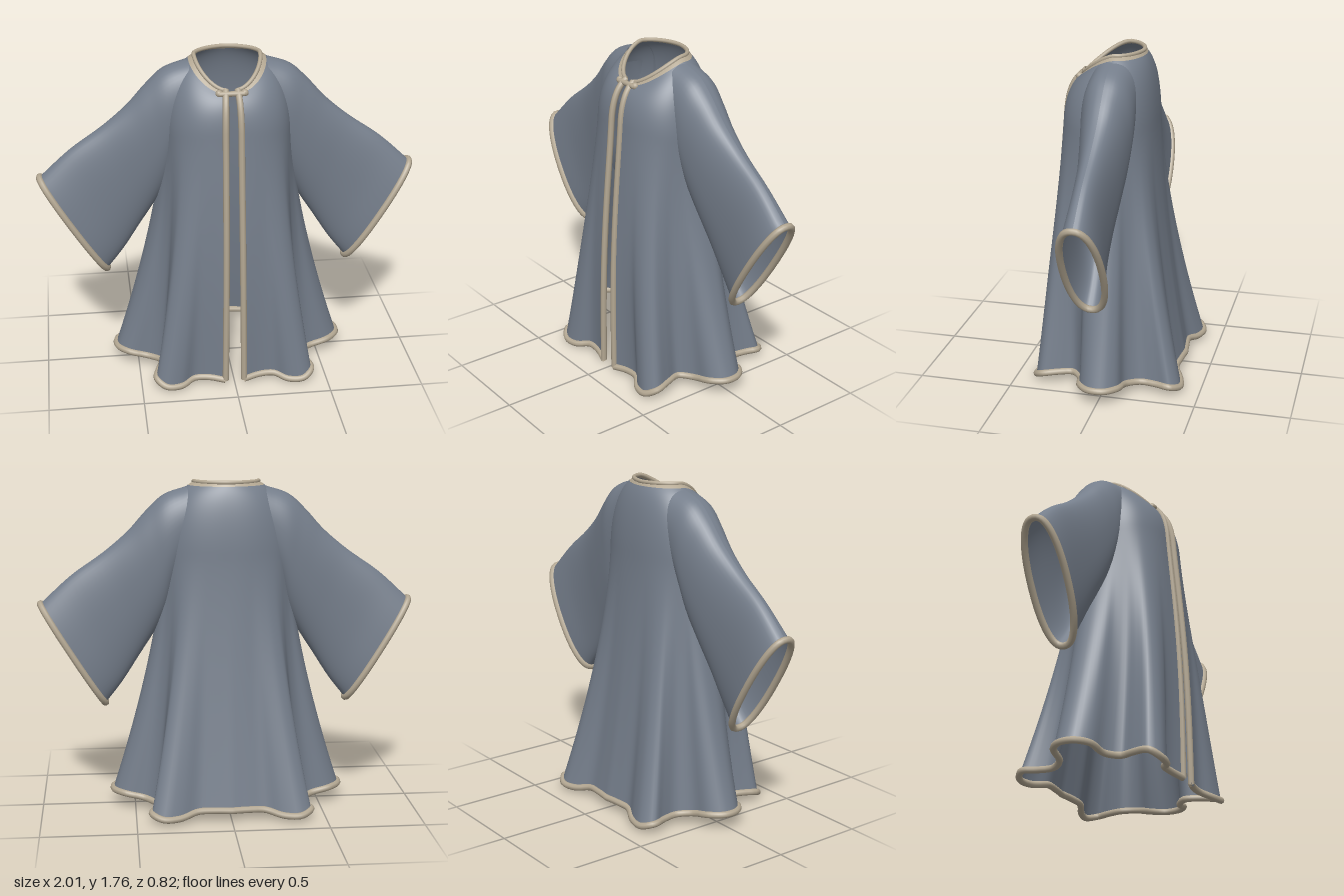
import * as THREE from 'three';

// Half of the hem, from the front slit round the +x side to the middle of the back
const HEM = new THREE.CatmullRomCurve3([
  [.05, .02, .36], [.14, .03, .335], [.22, .03, .335], [.29, .015, .38], [.37, .02, .39], [.42, .05, .345],
  [.40, .06, .26], [.38, .06, .18], [.45, .06, .12], [.55, .08, .10], [.61, .085, .04],
  [.61, .085, -.04], [.55, .08, -.10], [.45, .06, -.12], [.39, .05, -.19], [.40, .05, -.28],
  [.42, .05, -.35], [.36, .03, -.395], [.27, .03, -.38], [.18, .05, -.34], [.09, .055, -.345], [0, .055, -.355],
].map(p => new THREE.Vector3(...p)));

const CHEST_Y = 1.4, YOKE = 0.25;
const curve2 = pts => new THREE.CatmullRomCurve3(pts.map(([x, y, z = 0]) => new THREE.Vector3(x, y, z)));

// Sleeve upper edge (third value is half depth) and lower edge, from shoulder to cuff
const SLEEVE_TOP = curve2([[.2, 1.725, .13], [.33, 1.68, .135], [.42, 1.6, .125], [.52, 1.49, .11],
  [.65, 1.38, .092], [.82, 1.26, .086], [.985, 1.11, .1]]);
const SLEEVE_LOW = curve2([[.22, 1.35], [.28, 1.2], [.32, 1.07], [.38, .96], [.47, .82], [.56, .68], [.65, .565]]);

const spow = (v, e) => Math.sign(v) * Math.pow(Math.abs(v), e);

// Point on the body: u = 0..2 round from slit to slit, s = 0..1 from neck to hem
function bodyPoint(u, s) {
  const t = 1 - Math.abs(u - 1), side = u <= 1 ? 1 : -1;
  const a = t * Math.PI, sin = Math.sin(a), cos = Math.cos(a);
  const chest = new THREE.Vector3(
    .04 * (1 - t) + .31 * spow(sin, .85), CHEST_Y, (cos > 0 ? .29 : .19) * spow(cos, .85));
  const p = new THREE.Vector3();
  if (s < YOKE) {
    // rounded yoke between neckline and chest
    const neck = new THREE.Vector3(.03 * (1 - t) + .155 * spow(sin, 1.2),
      1.75 - .13 * Math.pow(Math.max(0, cos), 1.5), (cos > 0 ? .2 : .115) * cos);
    const ctrl = chest.clone().lerp(neck, .12);
    ctrl.y = THREE.MathUtils.lerp(CHEST_Y, neck.y, .78);
    new THREE.QuadraticBezierCurve3(neck, ctrl, chest).getPoint(s / YOKE, p);
  } else {
    // skirt: folds deepen toward the hem
    const k = (s - YOKE) / (1 - YOKE), hem = HEM.getPoint(t);
    p.copy(chest).lerp(hem, Math.pow(k, 1.5));
    p.y = THREE.MathUtils.lerp(CHEST_Y, hem.y, k);
    p.z += .03 * Math.max(0, cos) * Math.sin(Math.PI * k);
  }
  p.x *= side;
  return p;
}

// Point on a sleeve: v = 0..1 from shoulder to cuff, w = 0..1 round
function sleevePoint(side, v, w) {
  const top = SLEEVE_TOP.getPoint(v), low = SLEEVE_LOW.getPoint(v), a = w * Math.PI * 2;
  const depth = top.z;
  top.z = 0;
  const p = low.lerp(top, .5 + .5 * spow(Math.cos(a), .9));
  p.z = .005 + depth * spow(Math.sin(a), .85);
  p.x *= side;
  return p;
}

// Smooth sheet from a point rule; skip() leaves openings
function sheet(fn, nu, nv, skip = () => false) {
  const pos = [], index = [];
  for (let j = 0; j <= nv; j++)
    for (let i = 0; i <= nu; i++) pos.push(...fn(i / nu, j / nv).toArray());
  for (let j = 0; j < nv; j++)
    for (let i = 0; i < nu; i++) {
      const a = j * (nu + 1) + i, b = a + nu + 1;
      if (!skip(fn((i + .5) / nu, (j + .5) / nv))) index.push(a, b, a + 1, b, b + 1, a + 1);
    }
  const g = new THREE.BufferGeometry();
  g.setAttribute('position', new THREE.Float32BufferAttribute(pos, 3));
  g.setIndex(index);
  g.computeVertexNormals();
  return g;
}

// Rounded piping along a sampled edge
function piping(fn, n, radius, closed = false) {
  const pts = [];
  for (let i = 0; i < n + (closed ? 0 : 1); i++) pts.push(fn(i / n));
  return new THREE.TubeGeometry(new THREE.CatmullRomCurve3(pts, closed), n * 2, radius, 8, closed);
}

export function createModel() {
  const cloth = new THREE.MeshStandardMaterial({ color: 0x757e8b });
  const trim = new THREE.MeshStandardMaterial({ color: 0xb3a792 });
  cloth.name = 'slateCloth';
  trim.name = 'beigeTrim';
  cloth.side = trim.side = THREE.DoubleSide;

  const model = new THREE.Group();
  model.name = 'robe';
  const add = (name, geometry, material) => {
    const m = new THREE.Mesh(geometry, material);
    m.name = name;
    model.add(m);
    return m;
  };

  // Body with armholes, and the flat band round the neck
  const BAND = .028;
  const armhole = p => Math.abs(p.x) > .25 && Math.abs(p.z) < .08 && p.y > 1.2 && p.y < 1.6;
  add('body', sheet((u, v) => bodyPoint(u * 2, BAND + v * (1 - BAND)), 168, 60, armhole), cloth);
  add('neckBand', sheet((u, v) => bodyPoint(u * 2, v * BAND), 96, 3), trim);

  // Piping on neck, hem and the two front edges
  add('neckPiping', piping(t => bodyPoint(t * 2, 0), 48, .011), trim);
  add('hemPiping', piping(t => bodyPoint(t * 2, 1), 126, .018), trim);
  for (const [name, u] of [['leftFrontPiping', 0], ['rightFrontPiping', 2]])
    add(name, piping(s => bodyPoint(u, s), 40, .017), trim);

  // Wide sleeves and their cuffs
  for (const [name, side] of [['left', 1], ['right', -1]]) {
    add(name + 'Sleeve', sheet((w, v) => sleevePoint(side, v, w), 48, 30), cloth);
    add(name + 'CuffPiping', piping(w => sleevePoint(side, 1, w), 40, .018, true), trim);
  }

  // Clasp bar with a knob at each end
  const bar = add('claspBar', new THREE.CapsuleGeometry(.014, .12, 6, 12), trim);
  bar.rotation.z = Math.PI / 2;
  bar.position.set(0, 1.607, .222);
  for (const x of [-.065, .065]) {
    const knob = add('claspKnob', new THREE.SphereGeometry(.019, 14, 10), trim);
    knob.position.set(x, 1.608, .214);
  }
  return model;
}
